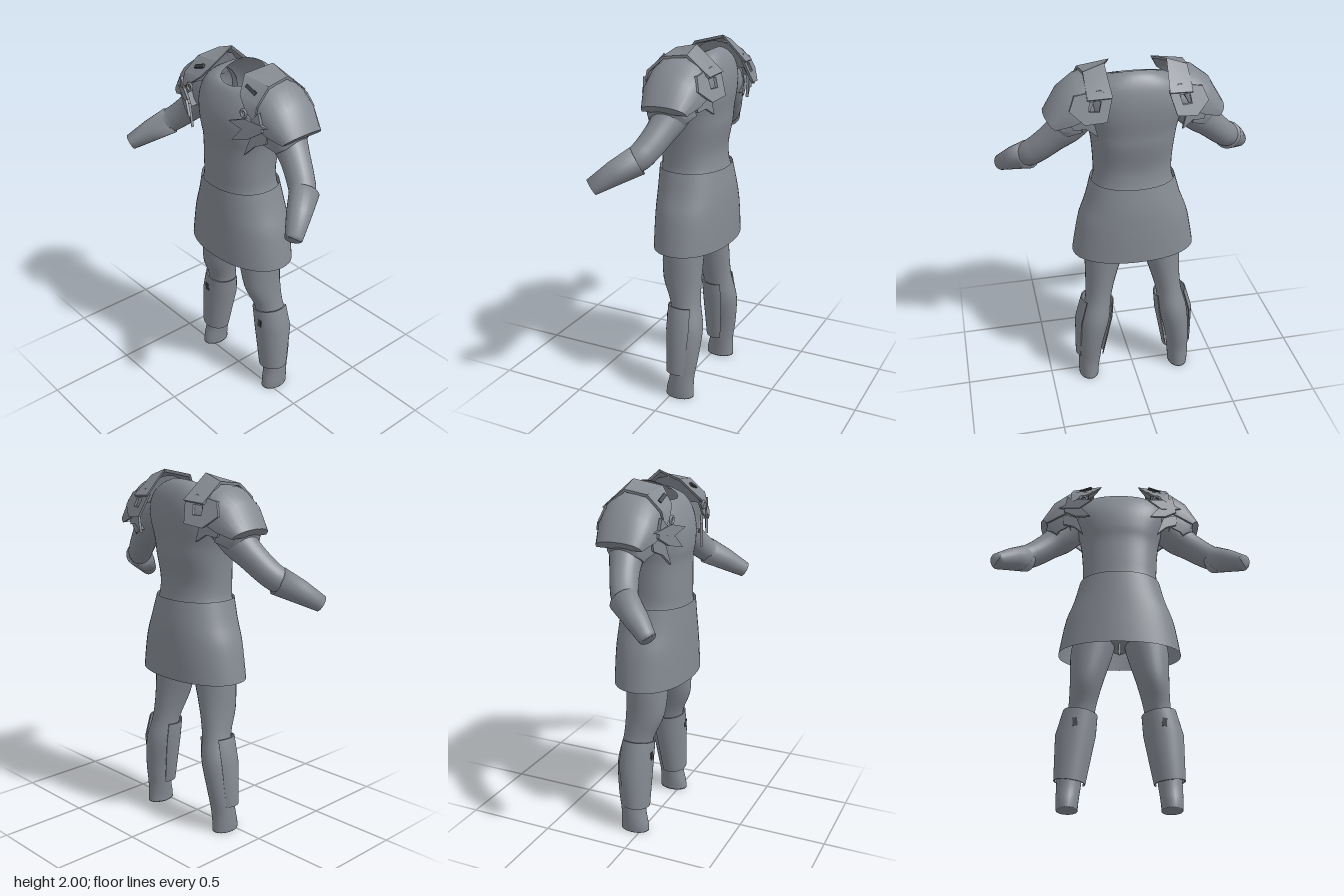
import * as THREE from 'three';
import { toCreasedNormals } from 'three/addons/utils/BufferGeometryUtils.js';

const steel = new THREE.MeshStandardMaterial({ color: 0x858a92, side: THREE.DoubleSide });
const dark = new THREE.MeshStandardMaterial({ color: 0x3c3f44, side: THREE.DoubleSide });
const V = (x, y, z) => new THREE.Vector3(x, y, z);
const TAU = Math.PI * 2;

// Skin a list of equal-length point rings
function loft(rings, { closed = true, cap = false } = {}) {
  const n = rings[0].length, pos = [], idx = [];
  rings.forEach(r => r.forEach(p => pos.push(p.x, p.y, p.z)));
  for (let i = 0; i < rings.length - 1; i++) {
    for (let j = 0; j < (closed ? n : n - 1); j++) {
      const a = i * n + j, b = i * n + (j + 1) % n;
      idx.push(a, b, a + n, b, b + n, a + n);
    }
  }
  if (cap) {
    const e = (rings.length - 1) * n;
    for (let j = 1; j < n - 1; j++) idx.push(e, e + j, e + j + 1, 0, j + 1, j);
  }
  const g = new THREE.BufferGeometry();
  g.setAttribute('position', new THREE.Float32BufferAttribute(pos, 3));
  g.setIndex(idx);
  g.computeVertexNormals();
  return g;
}

// Catmull-Rom refinement of numeric rows
function refine(rows, steps = 4) {
  const out = [], at = i => rows[Math.min(Math.max(i, 0), rows.length - 1)];
  for (let i = 0; i < rows.length - 1; i++) {
    for (let s = 0; s < steps; s++) {
      const t = s / steps;
      out.push(rows[i].map((_, k) => {
        const [a, b, c, d] = [at(i - 1)[k], at(i)[k], at(i + 1)[k], at(i + 2)[k]];
        return b + 0.5 * t * (c - a + t * (2 * a - 5 * b + 4 * c - d + t * (3 * (b - c) + d - a)));
      }));
    }
  }
  out.push(rows.at(-1));
  return out;
}

// Horizontal oval: front and back depths given separately, tilt raises the back
function oval([y, rx, zf, zb, tilt = 0], n = 48, power = 0.88) {
  const zc = (zf + zb) / 2, rz = (zf - zb) / 2;
  return Array.from({ length: n }, (_, j) => {
    const a = -j / n * TAU, c = Math.cos(a), s = Math.sin(a);
    const f = v => Math.sign(v) * Math.abs(v) ** power;
    return V(rx * f(c), y - tilt * s, zc + rz * f(s));
  });
}

// Round tube through rows of [x, y, z, radius]
function limb(rows, n = 24) {
  const pts = rows.map(r => V(r[0], r[1], r[2]));
  return rows.map((r, i) => {
    const d = pts[Math.min(i + 1, pts.length - 1)].clone().sub(pts[Math.max(i - 1, 0)]).normalize();
    const u = V(0, 0, 1).cross(d).normalize(), w = d.clone().cross(u);
    return Array.from({ length: n }, (_, j) => {
      const a = j / n * TAU;
      return pts[i].clone().addScaledVector(u, r[3] * Math.cos(a)).addScaledVector(w, r[3] * Math.sin(a));
    });
  });
}

// Thick plate from point rows: the inner skin is drawn towards a centre
function shell(rows, centre, k = 0.94) {
  const rings = rows.map(r => [...r, ...r.map(p => p.clone().lerp(centre, 1 - k)).reverse()]);
  return toCreasedNormals(loft(rings, { cap: true }), 0.6);
}

// Arch over the shoulder, front foot to back foot
function arch([xTop, xFoot, yTop, yFoot, zf, zb], n = 14) {
  return Array.from({ length: n + 1 }, (_, j) => {
    const a = j / n * Math.PI, s = Math.sin(a) ** 0.75;
    return V(xFoot + (xTop - xFoot) * s, yFoot + (yTop - yFoot) * s,
      (zf + zb) / 2 + (zf - zb) / 2 * Math.cos(a));
  });
}

// Flat plate outlined in x and y, then sheared onto the plane z = a + bx + cy
function plate(points, [a, b, c], hole, depth = 0.016) {
  const shape = new THREE.Shape(points.map(p => new THREE.Vector2(...p)));
  if (hole) shape.holes.push(new THREE.Path(hole.map(p => new THREE.Vector2(...p))));
  const g = new THREE.ExtrudeGeometry(shape, { depth, bevelEnabled: false });
  const p = g.attributes.position;
  for (let i = 0; i < p.count; i++) p.setZ(i, p.getZ(i) + a + b * p.getX(i) + c * p.getY(i));
  g.computeVertexNormals();
  return g;
}

function mirrored(geometry) {
  const g = geometry.clone().scale(-1, 1, 1);
  const ix = g.index ? Array.from(g.index.array) : Array.from({ length: g.attributes.position.count }, (_, i) => i);
  for (let i = 0; i < ix.length; i += 3) [ix[i], ix[i + 1]] = [ix[i + 1], ix[i]];
  g.setIndex(ix);
  return g;
}

export function createModel() {
  const group = new THREE.Group();
  const add = (name, g, material = steel) => {
    const m = new THREE.Mesh(g, material);
    m.name = name;
    group.add(m);
  };
  const pair = (name, g, material) => {
    add(name + 'Left', g, material);
    add(name + 'Right', mirrored(g), material);
  };

  // Shirt and hips, closed at the crotch and open at the neck
  add('torso', loft(refine([
    [0.92, 0.005, 0.08, -0.1, 0], [1.0, 0.23, 0.125, -0.15, 0], [1.2, 0.25, 0.165, -0.205, 0],
    [1.32, 0.218, 0.158, -0.18, 0], [1.42, 0.215, 0.157, -0.172, 0], [1.55, 0.225, 0.156, -0.195, 0],
    [1.63, 0.24, 0.166, -0.2, 0], [1.72, 0.265, 0.163, -0.21, 0], [1.8, 0.27, 0.142, -0.21, 0.005],
    [1.87, 0.235, 0.112, -0.195, 0.015], [1.91, 0.17, 0.088, -0.165, 0.03], [1.92, 0.115, 0.075, -0.13, 0.042],
  ]).map(r => oval(r))));

  // Flared skirt, open above and below
  add('skirt', loft(refine([
    [0.88, 0.345, 0.185, -0.23], [1.0, 0.325, 0.184, -0.23], [1.1, 0.303, 0.182, -0.227],
    [1.2, 0.265, 0.18, -0.22], [1.32, 0.232, 0.175, -0.2],
  ], 3).map(r => oval(r, 48, 0.92))));

  // Legs: rows of [y, x, z, rx, rz]
  const legRing = ([y, x, z, rx, rz]) => Array.from({ length: 28 }, (_, j) => {
    const a = j / 28 * TAU;
    return V(x + rx * Math.cos(a), y, z + rz * Math.sin(a));
  });
  pair('leg', loft(refine([
    [0.99, 0.135, -0.013, 0.12, 0.12], [0.88, 0.158, -0.013, 0.118, 0.118], [0.7, 0.187, -0.018, 0.089, 0.112],
    [0.56, 0.21, -0.048, 0.075, 0.088], [0.42, 0.235, -0.067, 0.084, 0.093], [0.25, 0.262, -0.066, 0.071, 0.08],
    [0.13, 0.272, -0.055, 0.065, 0.072], [0.05, 0.277, -0.045, 0.06, 0.08], [0.005, 0.277, -0.043, 0.057, 0.083],
  ]).map(legRing), { cap: true }));

  // Shin guards, open at the calf, each with a dark slot near the top
  const guardSide = ([y, x, z, rx, rz, tilt], k) => Array.from({ length: 26 }, (_, j) => {
    const a = (-40 + j * 10) * Math.PI / 180;
    return V(x + k * rx * Math.cos(a), y + tilt * Math.cos(a), z + k * rz * Math.sin(a));
  });
  const guardRows = [
    [0.547, 0.216, -0.05, 0.095, 0.098, 0.015], [0.42, 0.24, -0.055, 0.111, 0.101, 0],
    [0.155, 0.267, -0.04, 0.085, 0.077, 0.01],
  ];
  pair('shinGuard', toCreasedNormals(loft(
    guardRows.map(r => [...guardSide(r, 1), ...guardSide(r, 0.93).reverse()])), 0.6));
  [0, 2].forEach(i => pair(i ? 'shinGuardLowerRim' : 'shinGuardUpperRim',
    loft([guardSide(guardRows[i], 1), guardSide(guardRows[i], 0.93)], { closed: false })));
  pair('shinSlot', new THREE.BoxGeometry(0.026, 0.046, 0.014).rotateZ(-0.08).translate(0.241, 0.468, 0.042), dark);

  // Sleeves and forearm guards
  pair('arm', loft(limb(refine([
    [0.18, 1.8, -0.05, 0.09], [0.28, 1.735, -0.045, 0.105], [0.35, 1.655, -0.035, 0.094],
    [0.42, 1.59, -0.015, 0.079], [0.5, 1.515, 0.02, 0.072], [0.56, 1.463, 0.065, 0.066], [0.675, 1.35, 0.225, 0.036],
  ]))));
  pair('forearmGuard', loft(limb([
    [0.56, 1.465, 0.055, 0.064], [0.555, 1.47, 0.045, 0.077], [0.62, 1.41, 0.14, 0.064],
    [0.688, 1.342, 0.236, 0.045], [0.686, 1.344, 0.233, 0.036],
  ])));

  // Layered shoulder armour
  const hub = V(0.26, 1.72, -0.04);
  pair('shoulderDome', shell([
    [0.19, 0.24, 1.96, 1.82, 0.12, -0.19], [0.31, 0.28, 1.935, 1.75, 0.125, -0.21],
    [0.4, 0.345, 1.865, 1.72, 0.12, -0.2], [0.475, 0.43, 1.735, 1.69, 0.085, -0.17],
  ].map(r => arch(r)), hub));
  pair('shoulderUnderplate', shell([
    [0.37, 0.29, 1.84, 1.66, 0.105, -0.155], [0.445, 0.36, 1.73, 1.635, 0.08, -0.135],
    [0.435, 0.37, 1.67, 1.62, 0.07, -0.115],
  ].map(r => arch(r)), hub));
  pair('collarPlate', shell([
    [V(0.145, 1.87, -0.235), V(0.27, 1.86, -0.218)], [V(0.16, 2.0, -0.09), V(0.27, 1.962, -0.09)],
    [V(0.11, 1.965, 0.055), V(0.28, 1.945, 0.045)], [V(0.155, 1.885, 0.125), V(0.29, 1.87, 0.13)],
    [V(0.225, 1.83, 0.15), V(0.29, 1.79, 0.15)],
  ], hub));
  pair('collarSlot', new THREE.BoxGeometry(0.075, 0.02, 0.012).rotateX(-0.75).rotateZ(-0.35)
    .translate(0.205, 1.918, 0.094), dark);

  // Back plate with a cut-out, and the blade below it
  pair('backPlate', plate(
    [[0.145, 1.87], [0.2, 1.9], [0.33, 1.87], [0.36, 1.8], [0.29, 1.74], [0.18, 1.755]],
    [-1.1, 0.25, 0.45], [[0.2, 1.85], [0.215, 1.8], [0.265, 1.8], [0.258, 1.845]]));
  pair('backBlade', plate([[0.22, 1.66], [0.25, 1.78], [0.37, 1.76], [0.34, 1.69], [0.28, 1.7]], [-0.28, 0.27, 0]));

  // Crossed blades and round clasp at the front
  pair('frontUpperBlade', plate([[0.165, 1.775], [0.25, 1.8], [0.36, 1.77], [0.24, 1.735]], [0.265, -0.44, 0]));
  pair('frontLowerBlade', plate([[0.175, 1.67], [0.22, 1.73], [0.31, 1.84], [0.33, 1.74], [0.26, 1.69]], [0.255, -0.42, 0]));
  pair('frontTailBlade', plate([[0.215, 1.58], [0.255, 1.7], [0.34, 1.74], [0.33, 1.67], [0.27, 1.64]], [0.22, -0.4, 0]));
  pair('clasp', new THREE.TorusGeometry(0.019, 0.007, 8, 18).translate(0.217, 1.815, 0.153));

  return group;
}
